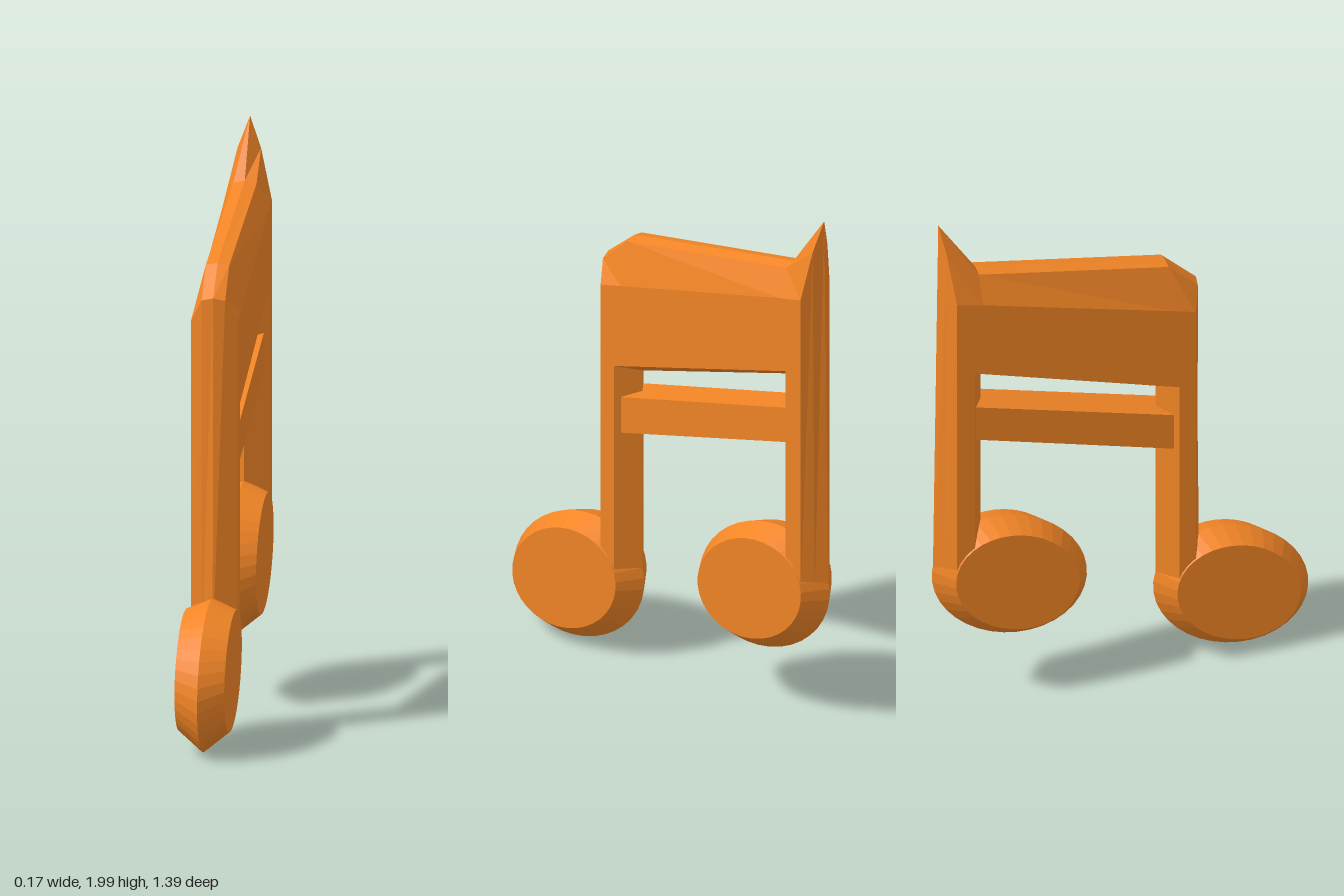
import * as THREE from 'three';

const material = new THREE.MeshStandardMaterial({ color: 0xf28526, flatShading: true });

// Closed solid through matching [z, y] outlines placed at rising x.
// Outlines run clockwise as seen from +x.
function loft(name, layers) {
  const positions = [];
  const point = (k, i) => {
    const [x, outline] = layers[k];
    const [z, y] = outline[i % outline.length];
    return [x, y, z];
  };
  const tri = (a, b, c) => positions.push(...a, ...b, ...c);
  const last = layers.length - 1;
  const count = layers[0][1].length;

  // side walls
  for (let k = 0; k < last; k++) {
    for (let i = 0; i < count; i++) {
      const a = point(k, i), b = point(k + 1, i), c = point(k + 1, i + 1), d = point(k, i + 1);
      tri(a, b, c);
      tri(a, c, d);
    }
  }
  // flat faces; reversed outline is counter-clockwise for the triangulation
  const order = [...Array(count).keys()].reverse();
  const flat = order.map((i) => {
    const [z, y] = layers[last][1][i];
    return new THREE.Vector2(-z, y);
  });
  for (const [a, b, c] of THREE.ShapeUtils.triangulateShape(flat, [])) {
    tri(point(last, order[a]), point(last, order[b]), point(last, order[c]));
    tri(point(0, order[c]), point(0, order[b]), point(0, order[a]));
  }

  const geometry = new THREE.BufferGeometry();
  geometry.setAttribute('position', new THREE.Float32BufferAttribute(positions, 3));
  geometry.computeVertexNormals();
  const mesh = new THREE.Mesh(geometry, material);
  mesh.name = name;
  return mesh;
}

// Tilted ellipse outline, rising toward -z
function ellipse(cz, cy, a, b, segments = 36) {
  const tilt = Math.PI / 6;
  return Array.from({ length: segments }, (_, i) => {
    const t = (-i / segments) * Math.PI * 2;
    const p = a * Math.cos(t), q = b * Math.sin(t);
    return [
      cz - (p * Math.cos(tilt) - q * Math.sin(tilt)),
      cy + p * Math.sin(tilt) + q * Math.cos(tilt),
    ];
  });
}

// Note head: wide rim at the middle, bevelled to a smaller flat face each side
function noteHead(name, cz, cy) {
  const face = ellipse(cz, cy + 0.018, 0.24, 0.186);
  const rim = ellipse(cz, cy, 0.302, 0.233);
  return loft(name, [[-0.087, face], [0, rim], [0.087, face]]);
}

export function createModel() {
  const group = new THREE.Group();
  group.name = 'musicNote';

  // Stems and beam in one bevelled piece: outline on the centre plane and on the flat face
  const ridge = [
    [0.292, 0.32], [0.28, 1.57], [0.165, 1.67], [-0.535, 1.8], [-0.67, 2],
    [-0.69, 0.55], [-0.515, 0.55], [-0.515, 1.35], [0.13, 1.148], [0.13, 0.32],
  ];
  const face = [
    [0.25, 0.32], [0.25, 1.48], [0.165, 1.503], [-0.535, 1.688], [-0.63, 1.71],
    [-0.63, 0.55], [-0.565, 0.55], [-0.565, 1.41], [0.19, 1.18], [0.19, 0.32],
  ];
  // Halfway outline; the top of the beam stays nearly flat and the spike bulges
  const shoulder = ridge.map(([z, y], i) => [(z + face[i][0]) / 2, (y + face[i][1]) / 2]);
  shoulder[1] = [0.272, 1.56];
  shoulder[2] = [0.165, 1.662];
  shoulder[3] = [-0.535, 1.79];
  shoulder[4] = [-0.652, 1.89];
  group.add(loft('stemsAndBeam', [
    [-0.082, face], [-0.041, shoulder], [0, ridge], [0.041, shoulder], [0.082, face],
  ]));

  // Slanted lower bar between the stems
  const bar = [[0.175, 0.915], [0.175, 1.055], [-0.555, 1.255], [-0.555, 1.12]];
  group.add(loft('lowerBar', [[-0.064, bar], [0.064, bar]]));

  group.add(noteHead('frontNoteHead', 0.408, 0.258));
  group.add(noteHead('rearNoteHead', -0.408, 0.487));
  return group;
}
